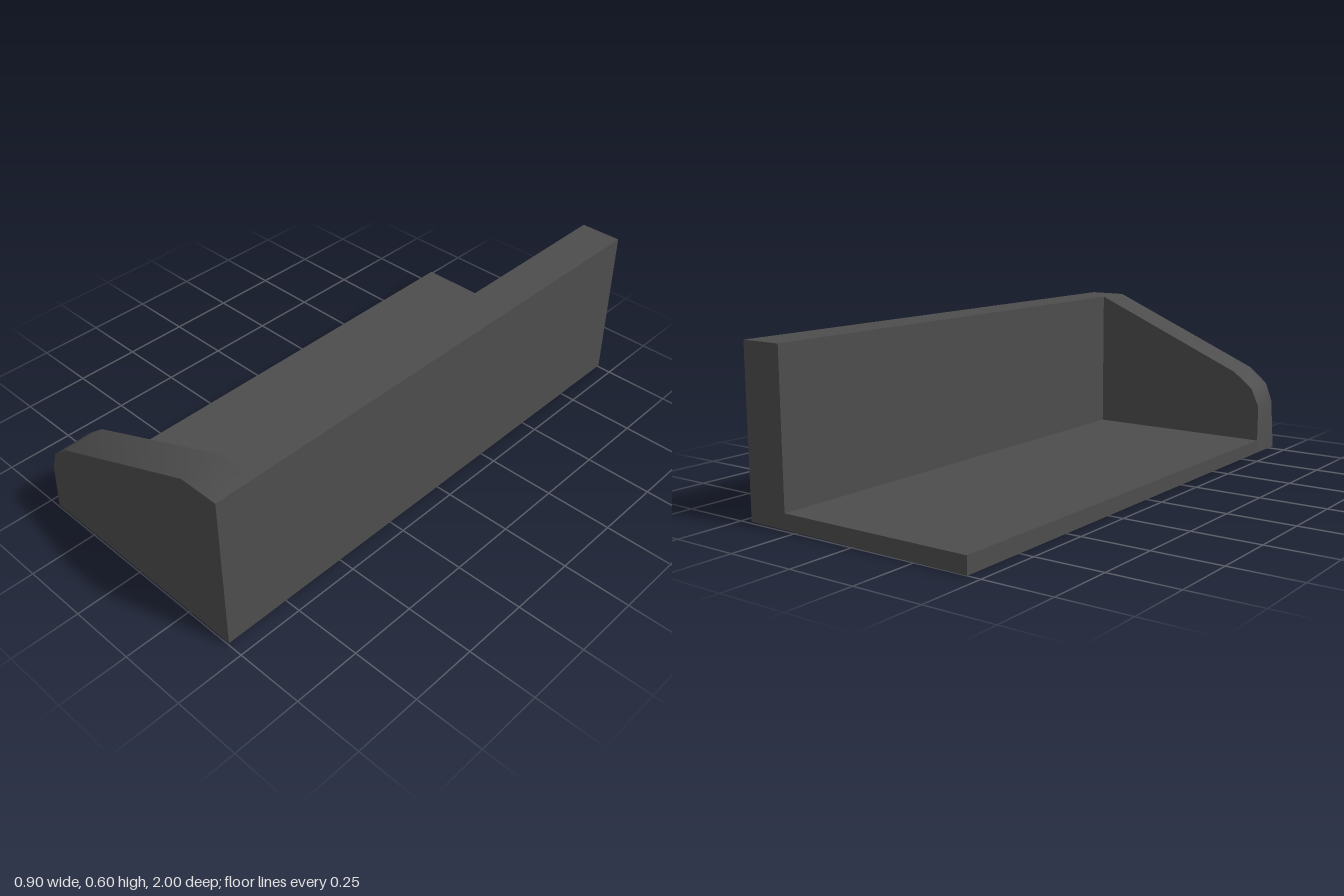
import * as THREE from 'three';
import { toCreasedNormals } from 'three/addons/utils/BufferGeometryUtils.js';

const X0 = -0.45, X1 = 0.447, TOP = 0.6;

// Extrude an x/y outline from z0 to z1, then apply the slight skew of the underside and outer walls
function slab(points, z0, z1) {
  const shape = new THREE.Shape(points.map(([x, y]) => new THREE.Vector2(x, y)));
  const geo = new THREE.ExtrudeGeometry(shape, { depth: z1 - z0, bevelEnabled: false });
  geo.translate(0, 0, z0);
  const p = geo.attributes.position;
  for (let i = 0; i < p.count; i++) {
    const x = p.getX(i), y = p.getY(i), z = p.getZ(i);
    const t = (z + 1) / 2; // 0 at the back, 1 at the front
    const u = (x - X0) / (X1 - X0);
    if (y < 0.001) p.setY(i, 0.01 * t + 0.006 * u * (1 - t));
    // outer wall leans in a little toward the front and top
    if (x > 0.44) p.setX(i, x - t * (0.002 + 0.005 * y / TOP));
    // front face of the rounded shoulder is pulled in
    if (z > 0.99 && x < -0.4 && y > 0.1) p.setX(i, x + (y < 0.25 ? 0.013 : 0.006));
  }
  return toCreasedNormals(geo, 0.6);
}

export function createModel() {
  const group = new THREE.Group();
  group.name = 'cornerTray';
  const darkGrey = new THREE.MeshStandardMaterial({ color: 0x4d4d4d });
  darkGrey.name = 'darkGrey';

  // floor and long side wall share one L-shaped section
  const floorAndWall = new THREE.Mesh(slab([
    [X0, 0], [X1, 0], [X1, TOP], [0.29, TOP], [0.29, 0.06], [X0, 0.06],
  ], -1, 0.85), darkGrey);
  floorAndWall.name = 'floorAndSideWall';

  // sloping end wall with a rounded shoulder
  const endWall = new THREE.Mesh(slab([
    [X0, 0], [X1, 0], [X1, TOP], [0.29, TOP], [-0.34, 0.33], [-0.417, 0.27], [X0, 0.2],
  ], 0.85, 1), darkGrey);
  endWall.name = 'endWall';

  group.add(floorAndWall, endWall);
  return group;
}
